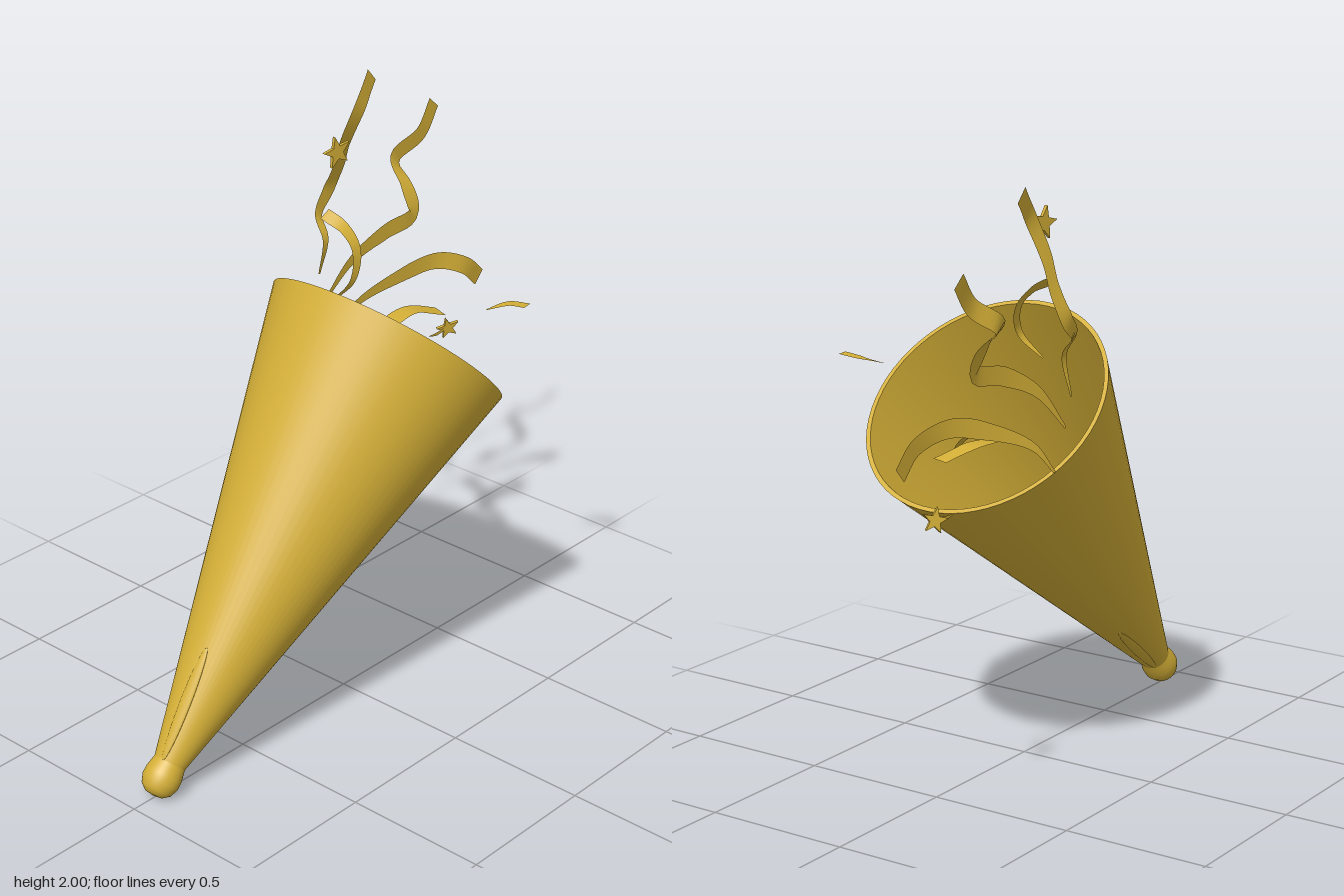
import * as THREE from 'three';

const gold = new THREE.MeshStandardMaterial({ color: 0xd4af37, side: THREE.DoubleSide });
gold.name = 'gold';

function add(parent, geometry, name) {
  const mesh = new THREE.Mesh(geometry, gold);
  mesh.name = name;
  parent.add(mesh);
  return mesh;
}

const lathe = (profile) => new THREE.LatheGeometry(profile.map(([r, y]) => new THREE.Vector2(r, y)), 64);

// Flat strip swept along a curve; its width runs across both the path and the ref axis
function ribbon(points, width, ref, taper) {
  const curve = new THREE.CatmullRomCurve3(points.map((p) => new THREE.Vector3(...p)));
  const n = 48, pos = [], idx = [];
  for (let i = 0; i <= n; i++) {
    const t = i / n;
    const p = curve.getPointAt(t);
    const side = curve.getTangentAt(t).cross(ref).normalize();
    const w = (width / 2) * Math.min(1, 0.15 + (1 - t) / taper);
    for (const s of [-w, w]) pos.push(p.x + side.x * s, p.y + side.y * s, p.z + side.z * s);
    if (i < n) {
      const a = i * 2;
      idx.push(a, a + 1, a + 2, a + 1, a + 3, a + 2);
    }
  }
  const g = new THREE.BufferGeometry();
  g.setAttribute('position', new THREE.Float32BufferAttribute(pos, 3));
  g.setIndex(idx);
  g.computeVertexNormals();
  return g;
}

// Thin five-pointed star
function star(radius) {
  const shape = new THREE.Shape();
  for (let i = 0; i < 10; i++) {
    const a = (i * Math.PI) / 5 + Math.PI / 2;
    const r = i % 2 ? radius * 0.42 : radius;
    shape[i ? 'lineTo' : 'moveTo'](r * Math.cos(a), r * Math.sin(a));
  }
  return new THREE.ExtrudeGeometry(shape, { depth: 0.012, bevelEnabled: false }).translate(0, 0, -0.006);
}

export function createModel() {
  const model = new THREE.Group();
  model.name = 'partyPopper';

  // Hollow cone, leaning back so the mouth points up and to -z
  const cone = new THREE.Group();
  cone.name = 'cone';
  cone.position.set(0.01, 0.065, 0.885);
  cone.rotation.x = -0.748;
  model.add(cone);
  add(cone, lathe([[0.054, 0.055], [0.42, 1.6]]), 'coneOutside');
  add(cone, lathe([[0.42, 1.6], [0.405, 1.6]]), 'coneRim');
  add(cone, lathe([[0.405, 1.6], [0.05, 0.12], [0, 0.12]]), 'coneInside');

  // Rounded tip
  add(cone, lathe([[0, -0.06], [0.03, -0.056], [0.052, -0.038], [0.063, -0.01],
    [0.063, 0.015], [0.058, 0.04], [0.053, 0.065]]), 'tip');

  // Long slender inlays lying on the cone wall, near the tip
  for (const [name, angle] of [['upperInlay', 0.2], ['lowerInlay', 3.65]]) {
    const holder = new THREE.Group();
    holder.name = name + 'Holder';
    holder.rotation.y = angle;
    cone.add(holder);
    const inlay = add(holder, new THREE.SphereGeometry(1, 24, 16), name);
    inlay.scale.set(0.02, 0.195, 0.007);
    inlay.position.set(0, 0.245, 0.099);
    inlay.rotation.x = 0.233;
  }

  // Streamers, from the free end towards the mouth
  const X = new THREE.Vector3(1, 0, 0), Y = new THREE.Vector3(0, 1, 0);
  const streamers = [
    ['tallStreamer', 0.06, X, 0.5, [[-0.36, 1.98, -0.54], [-0.33, 1.9, -0.45], [-0.36, 1.78, -0.41], [-0.4, 1.68, -0.42],
      [-0.43, 1.59, -0.4], [-0.41, 1.53, -0.33], [-0.36, 1.46, -0.31], [-0.38, 1.33, -0.3]]],
    ['curlyStreamer', 0.06, X, 0.4, [[-0.39, 1.78, -0.9], [-0.38, 1.69, -0.82], [-0.41, 1.62, -0.72], [-0.33, 1.55, -0.69],
      [-0.29, 1.46, -0.68], [-0.3, 1.43, -0.55], [-0.33, 1.36, -0.41], [-0.36, 1.23, -0.3]]],
    ['archedStreamer', 0.06, X, 0.6, [[-0.18, 1.18, -0.91], [-0.18, 1.25, -0.83], [-0.22, 1.29, -0.72],
      [-0.27, 1.26, -0.58], [-0.33, 1.19, -0.43], [-0.36, 1.1, -0.36]]],
    ['shortStreamer', 0.045, X, 0.6, [[-0.2, 1.65, -0.13], [-0.13, 1.61, -0.15], [-0.08, 1.55, -0.15],
      [-0.06, 1.46, -0.11], [-0.12, 1.38, -0.07]]],
    ['lowStreamer', 0.07, Y, 0.7, [[-0.12, 1.16, -0.63], [-0.16, 1.19, -0.52], [-0.14, 1.18, -0.39],
      [-0.04, 1.17, -0.37], [0.05, 1.09, -0.34]]],
    ['sideStreamer', 0.04, Y, 0.6, [[0.4, 1.4, -0.44], [0.33, 1.39, -0.43], [0.28, 1.37, -0.38]]],
    ['confettiStrip', 0.012, X, 0.6, [[-0.21, 1.02, -0.76], [-0.21, 1.015, -0.72], [-0.21, 1.02, -0.68]]],
  ];
  for (const [name, width, ref, taper, points] of streamers) add(model, ribbon(points, width, ref, taper), name);

  // Star confetti
  for (const [name, radius, position, rotation] of [
    ['upperStar', 0.055, [-0.21, 1.84, -0.2], [0, 1.4, 0.2]],
    ['lowerStar', 0.042, [-0.21, 1.02, -0.78], [0.3, 1.0, 0]],
  ]) {
    const s = add(model, star(radius), name);
    s.position.set(...position);
    s.rotation.set(...rotation);
  }
  return model;
}
